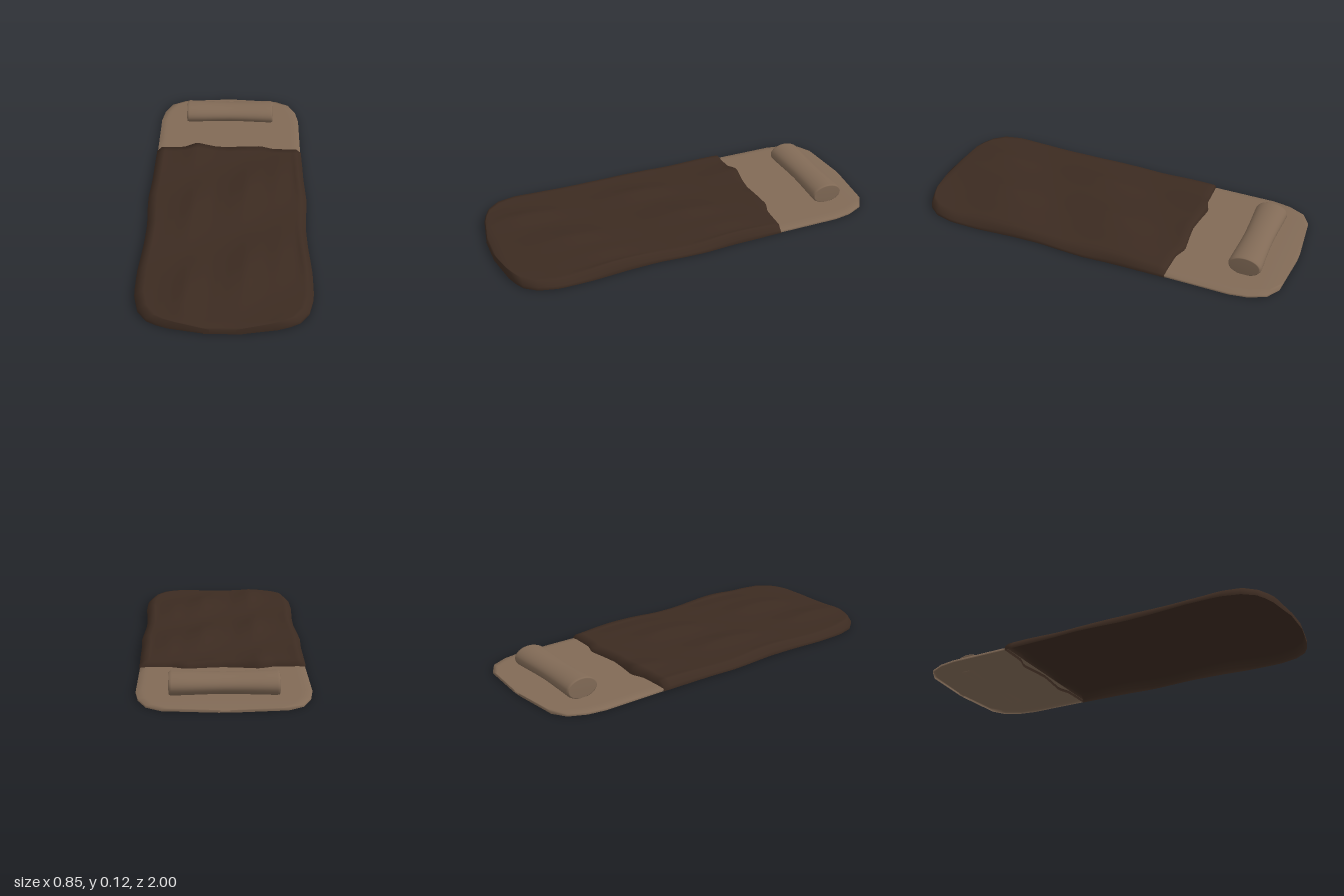
import * as THREE from 'three';

// Piecewise linear lookup in a list of [position, value] pairs
function lookup(table, t) {
  if (t <= table[0][0]) return table[0][1];
  for (let i = 1; i < table.length; i++) {
    const [a, va] = table[i - 1], [b, vb] = table[i];
    if (t <= b) return va + (vb - va) * (t - a) / (b - a);
  }
  return table[table.length - 1][1];
}

// Draped cloth shell, open below, lofted along z. rows: [z, rise 0..1];
// width(z) is the half width; height(x, z) the top surface; inset the soft border;
// lip the height of the upright rim as a share of the top; shift(x, z) moves along z.
function cloth({ rows, width, height, inset, lip, shift = () => 0 }) {
  const pos = [], idx = [], inner = 40, cols = inner + 5;
  rows.forEach(([z, rise]) => {
    const w = width(z), edge = w - Math.min(inset, w * 0.3);
    for (let j = 0; j < cols; j++) {
      let x, k = 1;
      if (j < 2) { x = -w; k = j * lip; }
      else if (j > cols - 3) { x = w; k = (cols - 1 - j) * lip; }
      else x = edge * (2 * (j - 2) / inner - 1);
      pos.push(x, height(x, z) * k * rise, z + shift(x, z));
    }
  });
  for (let i = 0; i < rows.length - 1; i++)
    for (let j = 0; j < cols - 1; j++) {
      const a = i * cols + j, b = a + cols;
      idx.push(a, b, a + 1, b, b + 1, a + 1);
    }
  const g = new THREE.BufferGeometry();
  g.setAttribute('position', new THREE.Float32BufferAttribute(pos, 3));
  g.setIndex(idx);
  g.computeVertexNormals();
  return g;
}

export function createModel() {
  const group = new THREE.Group();
  const tan = new THREE.MeshStandardMaterial({ color: 0x816a56, side: THREE.DoubleSide });
  tan.name = 'tan cloth';
  const brown = new THREE.MeshStandardMaterial({ color: 0x3c2b21, side: THREE.DoubleSide });
  brown.name = 'dark brown blanket';
  const add = (name, geometry, material) => {
    const mesh = new THREE.Mesh(geometry, material);
    mesh.name = name;
    group.add(mesh);
    return mesh;
  };

  // Thin mat showing at the head end
  const matWidth = [[-1, 0.03], [-0.978, 0.28], [-0.935, 0.35], [-0.85, 0.39], [-0.76, 0.405], [-0.4, 0.405]];
  add('mat', cloth({
    rows: [[-1, 0], [-1, 0.8], [-0.978, 0.9], [-0.935, 1], [-0.89, 1], [-0.85, 1], [-0.76, 1],
      [-0.65, 1], [-0.55, 1], [-0.43, 1]],
    width: z => lookup(matWidth, z),
    height: () => 0.015, inset: 0.03, lip: 0.75,
  }), tan);

  // Rumpled blanket with a wavy head edge and rounded foot corners
  const blanketWidth = [[-0.45, 0.408], [-0.3, 0.41], [-0.15, 0.412], [0, 0.421], [0.1, 0.417], [0.25, 0.407],
    [0.4, 0.411], [0.6, 0.426], [0.76, 0.425], [0.86, 0.4], [0.92, 0.355], [0.96, 0.28], [0.993, 0.09]];
  const headEdge = [[0, 0.007], [0.08, -0.001], [0.18, -0.015], [0.25, 0.011], [0.41, 0.015]];
  const footDrop = [[0.9, 1], [0.965, 0.95], [0.985, 0.75], [0.993, 0.65]];
  const ridges = [[-0.4, 0.048], [-0.32, 0.043], [-0.25, 0.047], [-0.18, 0.06], [-0.07, 0.045], [0, 0.049],
    [0.1, 0.064], [0.2, 0.053], [0.27, 0.054], [0.36, 0.044], [0.4, 0.06]];
  const folds = (x, z) => {
    const swell = 0.5 + 0.5 * Math.sin(10 * z + 6 * x + 1.2);
    return (0.038 + (lookup(ridges, x) - 0.038) * swell) * lookup(footDrop, z);
  };
  const rows = [[-0.448, 0], [-0.442, 1]];
  for (let z = -0.4; z < 0.89; z += 0.045) rows.push([z, 1]);
  rows.push([0.92, 1], [0.945, 1], [0.965, 1], [0.985, 1], [0.993, 1], [0.995, 0]);
  add('blanket', cloth({
    rows, width: z => lookup(blanketWidth, z), height: folds, inset: 0.028, lip: 0.4,
    shift: (x, z) => lookup(headEdge, Math.abs(x)) * Math.max(0, 1 - (z + 0.448) / 0.15),
  }), brown);

  // Bolster pillow, slimmer in the middle, with rounded rims
  const half = [[0.88, 0.252], [0.95, 0.25], [1, 0.238], [0.96, 0.16], [0.915, 0.08]];
  const profile = [
    [0, -0.252], ...half.map(([r, y]) => [r, -y]), [0.89, 0], ...half.slice().reverse(), [0, 0.252],
  ].map(p => new THREE.Vector2(...p));
  const bolster = new THREE.LatheGeometry(profile, 32);
  bolster.rotateZ(Math.PI / 2);
  bolster.scale(1, 0.053, 0.084);
  add('pillow', bolster, tan).position.set(0, 0.062, -0.787);

  return group;
}
